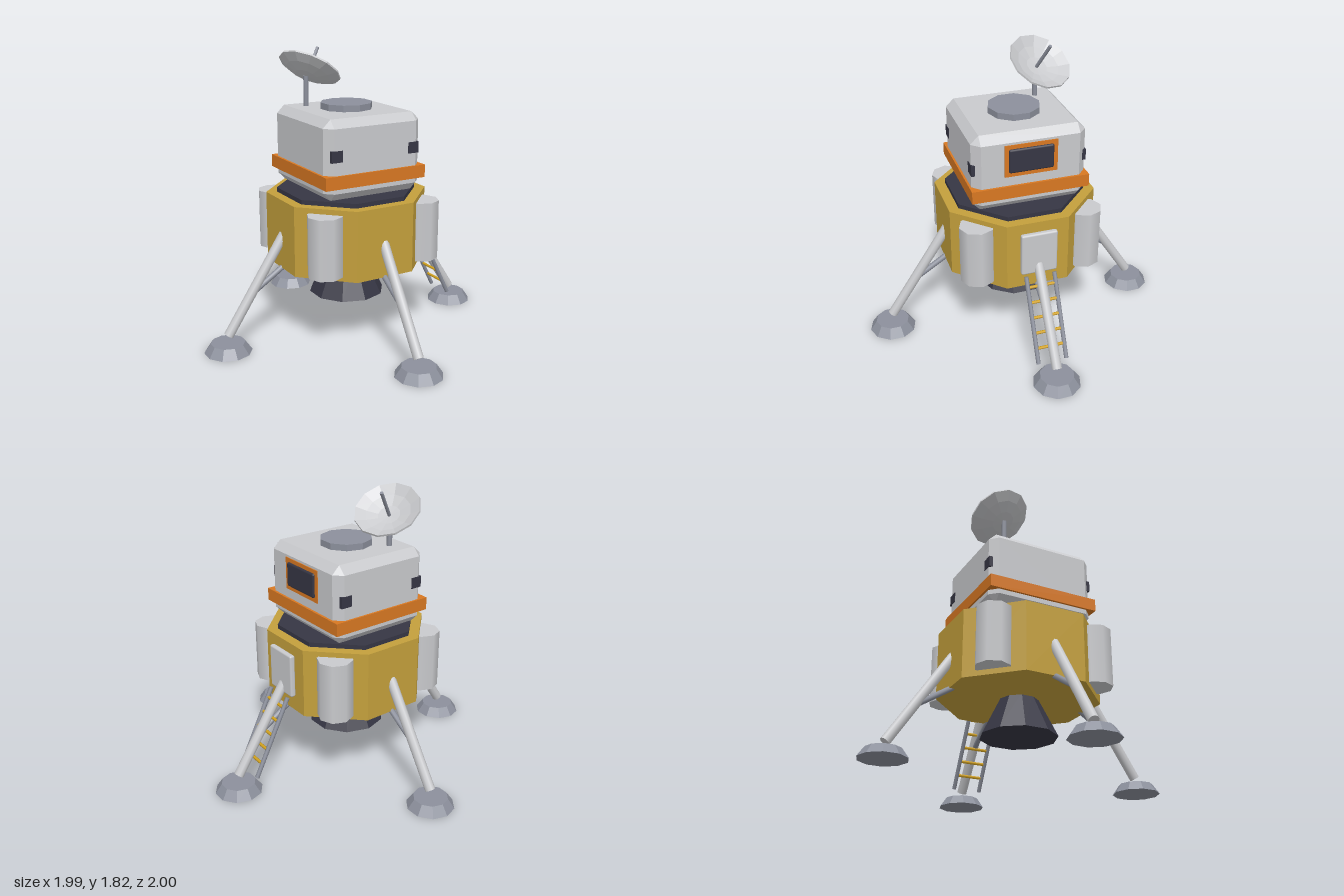
import * as THREE from 'three';
import { RoundedBoxGeometry } from 'three/addons/geometries/RoundedBoxGeometry.js';
import { ConvexGeometry } from 'three/addons/geometries/ConvexGeometry.js';

const V = (x, y, z) => new THREE.Vector3(x, y, z);
const UP = V(0, 1, 0);

function material(name, color) {
  const m = new THREE.MeshStandardMaterial({ color });
  m.name = name;
  return m;
}

// Faceted copy of a geometry
function flat(geometry) {
  const g = geometry.index ? geometry.toNonIndexed() : geometry;
  g.computeVertexNormals();
  return g;
}

function add(parent, name, geometry, mat, x = 0, y = 0, z = 0) {
  const mesh = new THREE.Mesh(geometry, mat);
  mesh.name = name;
  mesh.position.set(x, y, z);
  parent.add(mesh);
  return mesh;
}

// Round bar between two points
function bar(parent, name, a, b, radius, mat, sides = 10) {
  const dir = b.clone().sub(a);
  const mid = a.clone().add(b).multiplyScalar(0.5);
  const mesh = add(parent, name, new THREE.CylinderGeometry(radius, radius, dir.length(), sides), mat, mid.x, mid.y, mid.z);
  mesh.quaternion.setFromUnitVectors(UP, dir.normalize());
  return mesh;
}

// Flat-sided prism or cone standing on y0
function prism(parent, name, rTop, rBottom, y0, y1, sides, mat, x = 0, z = 0) {
  const g = flat(new THREE.CylinderGeometry(rTop, rBottom, y1 - y0, sides));
  return add(parent, name, g, mat, x, (y0 + y1) / 2, z);
}

// Box with every edge cut at 45 degrees
function chamferedBox(hx, hy, hz, c) {
  const points = [];
  for (const x of [-1, 1]) for (const y of [-1, 1]) for (const z of [-1, 1]) {
    points.push(
      V(x * hx, y * (hy - c), z * (hz - c)),
      V(x * (hx - c), y * hy, z * (hz - c)),
      V(x * (hx - c), y * (hy - c), z * hz));
  }
  return new ConvexGeometry(points);
}

export function createModel() {
  const model = new THREE.Group();
  model.name = 'lander';
  const light = material('light grey', 0xc9cacd);
  const grey = material('mid grey', 0x8c909c);
  const gold = material('gold foil', 0xc4a03c);
  const yellow = material('rung yellow', 0xd6a520);
  const orange = material('orange', 0xd87822);
  const dark = material('dark', 0x363644);

  // Descent stage: octagonal body, deck and engine bell
  const octagon = 1 / Math.cos(Math.PI / 8);
  prism(model, 'descentBody', 0.475 * octagon, 0.475 * octagon, 0.487, 0.932, 8, gold).rotation.y = Math.PI / 8;
  prism(model, 'deck', 0.412 * octagon, 0.412 * octagon, 0.93, 0.96, 8, dark).rotation.y = Math.PI / 8;
  prism(model, 'engineBell', 0.12, 0.245, 0.25, 0.5, 10, dark);

  // Tanks on the four diagonal faces
  for (const x of [-1, 1]) for (const z of [-1, 1]) {
    add(model, 'tank', new THREE.CylinderGeometry(0.11, 0.11, 0.38, 8), light, x * 0.347, 0.71, z * 0.347);
  }

  // Four legs with struts and foot pads
  for (let i = 0; i < 4; i++) {
    const leg = new THREE.Group();
    leg.name = 'leg';
    leg.rotation.y = i * Math.PI / 2;
    bar(leg, 'legTube', V(0.42, 0.75, 0), V(0.845, 0.102, 0), 0.032, light);
    bar(leg, 'legStrut', V(0.43, 0.51, 0), V(0.67, 0.355, 0), 0.018, grey, 8);
    model.add(leg);
    const a = i * Math.PI / 2;
    prism(model, 'footPad', 0.108, 0.15, 0, 0.06, 10, grey, 0.85 * Math.cos(a), 0.85 * Math.sin(a));
  }

  // Side hatch and ladder
  add(model, 'sideHatch', new RoundedBoxGeometry(0.036, 0.28, 0.23, 2, 0.012), light, 0.494, 0.73, 0);
  const ladder = new THREE.Group();
  ladder.name = 'ladder';
  model.add(ladder);
  const top = V(0.525, 0.585, 0), foot = V(0.768, 0.1, 0);
  for (const z of [-0.091, 0.091]) {
    bar(ladder, 'ladderRail', V(top.x, top.y, z), V(foot.x, foot.y, z), 0.014, grey, 8);
  }
  for (let i = 0; i < 5; i++) {
    const p = top.clone().lerp(foot, (0.585 - 0.525 + i * 0.085) / 0.485);
    bar(ladder, 'rung', V(p.x, p.y, -0.09), V(p.x, p.y, 0.09), 0.01, yellow, 6);
  }

  // Crew cabin with its band and roof hatch
  add(model, 'cabin', chamferedBox(0.335, 0.245, 0.357, 0.05), light, 0, 1.215, 0);
  add(model, 'cabinBand', new THREE.BoxGeometry(0.7, 0.08, 0.74), orange, 0, 1.09, 0);
  prism(model, 'roofHatch', 0.165, 0.165, 1.45, 1.5, 10, grey);

  // Side window in its frame
  add(model, 'windowFrame', new THREE.BoxGeometry(0.012, 0.205, 0.33), orange, 0.335, 1.293, 0);
  add(model, 'sideWindow', new RoundedBoxGeometry(0.03, 0.155, 0.28, 2, 0.012), dark, 0.338, 1.293, 0);

  // Small corner ports, front and back
  for (const x of [-1, 1]) for (const z of [-1, 1]) {
    add(model, 'cornerPort', new THREE.BoxGeometry(0.075, 0.07, 0.026), dark, x * 0.268, 1.245, z * 0.347);
  }

  // Tilted dish antenna on a mast
  bar(model, 'mast', V(-0.18, 1.45, -0.2), V(-0.18, 1.65, -0.2), 0.017, grey, 8);
  const dish = new THREE.Group();
  dish.name = 'dishAntenna';
  dish.position.set(-0.176, 1.643, -0.203);
  dish.quaternion.setFromUnitVectors(UP, V(0.53, 0.82, -0.25).normalize());
  model.add(dish);
  const profile = [[0, 0], [0.075, 0.008], [0.145, 0.031], [0.207, 0.062], [0.205, 0.074], [0.14, 0.041], [0.07, 0.019], [0, 0.012]];
  const bowl = new THREE.LatheGeometry(profile.map(([r, y]) => new THREE.Vector2(r, y)), 12);
  add(dish, 'dishBowl', flat(bowl), light);
  bar(dish, 'feedRod', V(0, 0.005, 0), V(0, 0.215, 0), 0.011, grey, 8);

  return model;
}
